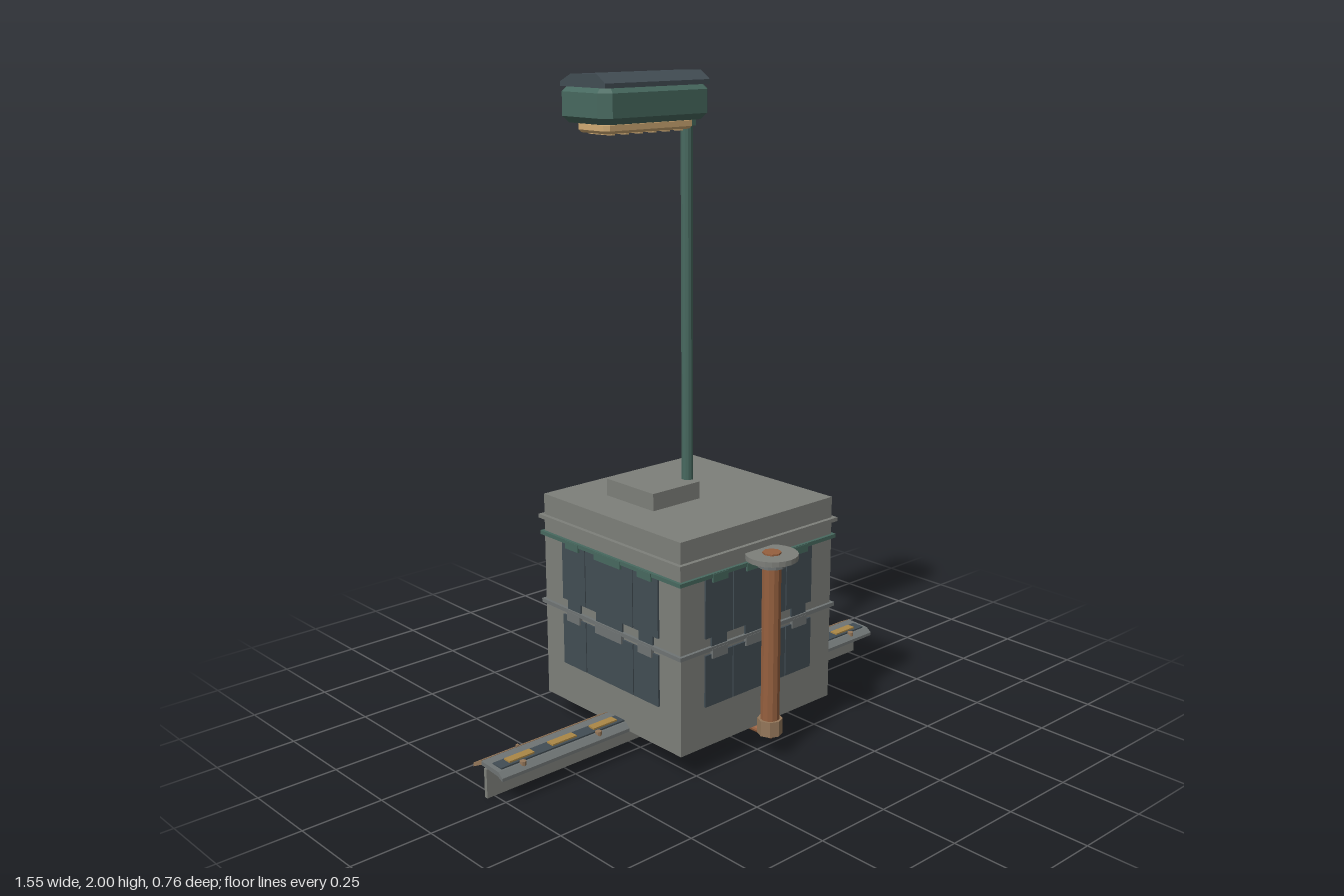
import * as THREE from 'three';

const mat = (name, color) => {
  const m = new THREE.MeshStandardMaterial({ color });
  m.name = name;
  m.flatShading = true;
  return m;
};

export function createModel() {
  const root = new THREE.Group();
  root.name = 'streetLampHut';
  const stone = mat('stoneGrey', 0x7d7f7a);
  const steel = mat('steelGrey', 0x6f7474);
  const green = mat('paintedGreen', 0x47695f);
  const slate = mat('slateBlue', 0x424d54);
  const copper = mat('copper', 0x96603f);
  const brass = mat('dullBrass', 0x94775a);
  const amber = mat('amber', 0xaa8746);
  const glow = mat('lampCream', 0xcfaa74);
  const CZ = -0.06; // depth of the hut and pole axis

  const add = (name, geo, material, x = 0, y = 0, z = 0, parent = root) => {
    const m = new THREE.Mesh(geo, material);
    m.name = name;
    m.position.set(x, y, z);
    parent.add(m);
    return m;
  };
  // box given by its limits on each axis
  const box = (name, material, [x0, x1], [y0, y1], [z0, z1], parent) =>
    add(name, new THREE.BoxGeometry(x1 - x0, y1 - y0, z1 - z0), material,
      (x0 + x1) / 2, (y0 + y1) / 2, (z0 + z1) / 2, parent);
  // cylinder along an axis, centred at p
  const rod = (name, material, r, len, p, axis = 'y', sides = 12) => {
    const g = new THREE.CylinderGeometry(r, r, len, sides);
    if (axis === 'x') g.rotateZ(Math.PI / 2);
    if (axis === 'z') g.rotateX(Math.PI / 2);
    return add(name, g, material, ...p);
  };
  // profile of [z, y] points swept along x
  const sweepX = (name, material, pts, x0, x1) => {
    const s = new THREE.Shape(pts.map(([z, y]) => new THREE.Vector2(-z, y)));
    const g = new THREE.ExtrudeGeometry(s, { depth: x1 - x0, bevelEnabled: false });
    g.rotateY(Math.PI / 2);
    return add(name, g, material, x0);
  };
  // box with cut corners and chamfered top and bottom edges
  const chamferBox = (name, material, w, d, y0, y1, x, z, c) => {
    const a = w / 2 - c, b = d / 2 - c;
    const s = new THREE.Shape([[a, b - c], [a - c, b], [c - a, b], [-a, b - c],
      [-a, c - b], [c - a, -b], [a - c, -b], [a, c - b]].map(p => new THREE.Vector2(...p)));
    const g = new THREE.ExtrudeGeometry(s, {
      depth: y1 - y0 - 2 * c, bevelThickness: c, bevelSize: c, bevelSegments: 1,
    });
    g.rotateX(-Math.PI / 2);
    return add(name, g, material, x, y0 + c, z);
  };

  // hut body, roof lip, bands and roof hatch
  const square = (name, material, h, y0, y1) =>
    box(name, material, [-h, h], [y0, y1], [CZ - h, CZ + h]);
  square('hutBody', stone, 0.31, 0.08, 0.732);
  square('roofLip', stone, 0.323, 0.655, 0.667);
  square('upperBand', green, 0.32, 0.602, 0.614);
  square('middleBand', steel, 0.32, 0.38, 0.392);
  box('roofHatch', stone, [-0.18, 0.005], [0.732, 0.785], [-0.225, -0.012]);

  // window panels and clips, the same on all four walls
  for (let i = 0; i < 4; i++) {
    const wall = new THREE.Group();
    wall.name = 'windowWall';
    wall.position.z = CZ;
    wall.rotation.y = i * Math.PI / 2;
    root.add(wall);
    for (const [c, w] of [[-0.165, 0.108], [0, 0.215], [0.165, 0.108]]) {
      for (const [y0, y1] of [[0.42, 0.602], [0.208, 0.368]]) {
        box('windowPanel', slate, [c - w / 2, c + w / 2], [y0, y1], [0.308, 0.316], wall);
      }
      const k = w * 0.28;
      box('lowerPanelTab', slate, [c - k, c + k], [0.392, 0.42], [0.308, 0.316], wall);
      box('upperClip', green, [c - k, c + k], [0.588, 0.612], [0.308, 0.322], wall);
      box('middleClip', steel, [c - k, c + k], [0.355, 0.385], [0.308, 0.321], wall);
    }
  }

  // lamp pole and head
  rod('pole', green, 0.018, 1.15, [0, 1.295, CZ]);
  box('poleBracket', green, [-0.03, 0.018], [1.842, 1.87], [CZ - 0.02, CZ + 0.02]);
  chamferBox('lampHead', green, 0.4, 0.21, 1.865, 1.967, -0.19, CZ, 0.018);
  sweepX('lampCap', slate, [[0.037, 1.962], [0.037, 1.975], [0, 2], [-0.11, 1.996],
    [-0.155, 1.975], [-0.155, 1.962]], -0.38, 0);
  chamferBox('lampDiffuser', glow, 0.325, 0.132, 1.838, 1.87, -0.19, CZ, 0.008);
  for (let i = 0; i < 6; i++) {
    const x = -0.315 + i * 0.05;
    box('diffuserRib', glow, [x - 0.006, x + 0.006], [1.833, 1.84], [CZ - 0.05, CZ + 0.05]);
  }

  // long rail: thin web, flange, sloping back board
  box('railWeb', stone, [-0.775, 0.775], [0, 0.09], [CZ - 0.006, CZ + 0.006]);
  sweepX('railFlange', steel, [[0.022, 0.08], [0.022, 0.09], [0.004, 0.104], [-0.08, 0.108],
    [-0.08, 0.096], [0, 0.09]], -0.775, 0.775);
  sweepX('railBackBoard', brass, [[-0.078, 0.096], [-0.078, 0.109], [-0.118, 0.088],
    [-0.118, 0.076]], -0.775, 0.775);
  for (const s of [-1, 1]) {
    const span = (a, b) => (s > 0 ? [a, b] : [-b, -a]);
    box('railStrip', slate, span(0.3, 0.76), [0.1, 0.109], [-0.045, -0.002]);
    for (const x of [0.375, 0.528, 0.681]) {
      box('railLight', amber, span(x - 0.044, x + 0.044), [0.106, 0.114], [-0.038, -0.011]);
    }
    for (const x of [0.415, 0.69]) {
      rod('railKnob', brass, 0.01, 0.02, [s * x, 0.1, 0.004], 'y', 8);
    }
    rod('railRivet', brass, 0.005, 0.012, [s * 0.645, 0.107, -0.083], 'y', 6);
  }

  // standing pipe with a flanged cap
  const PZ = 0.302;
  rod('standPipe', copper, 0.029, 0.53, [0, 0.345, PZ]);
  rod('pipeCollar', steel, 0.043, 0.022, [0, 0.613, PZ]);
  rod('pipeCap', stone, 0.078, 0.016, [0, 0.632, PZ], 'y', 24);
  rod('capPlug', copper, 0.028, 0.01, [0, 0.64, PZ], 'y', 8);
  rod('pipeSocket', brass, 0.038, 0.048, [0, 0.098, PZ], 'y', 8);

  // pipework under the hut
  rod('feedPipe', copper, 0.012, 0.18, [0, 0.069, 0.22], 'z');
  rod('branchPipeFront', copper, 0.019, 0.18, [0, 0.054, 0.03], 'z');
  rod('branchCollarFront', brass, 0.025, 0.042, [0, 0.05, 0.121], 'z', 8);
  rod('branchPipeSide', copper, 0.019, 0.18, [0.09, 0.052, CZ], 'x');
  rod('branchCollarSide', brass, 0.025, 0.042, [0.18, 0.048, CZ], 'x', 8);
  add('junctionBowl', new THREE.SphereGeometry(0.057, 8, 3, 0, Math.PI * 2, Math.PI / 2, Math.PI / 2),
    brass, 0, 0.079, CZ);

  return root;
}
